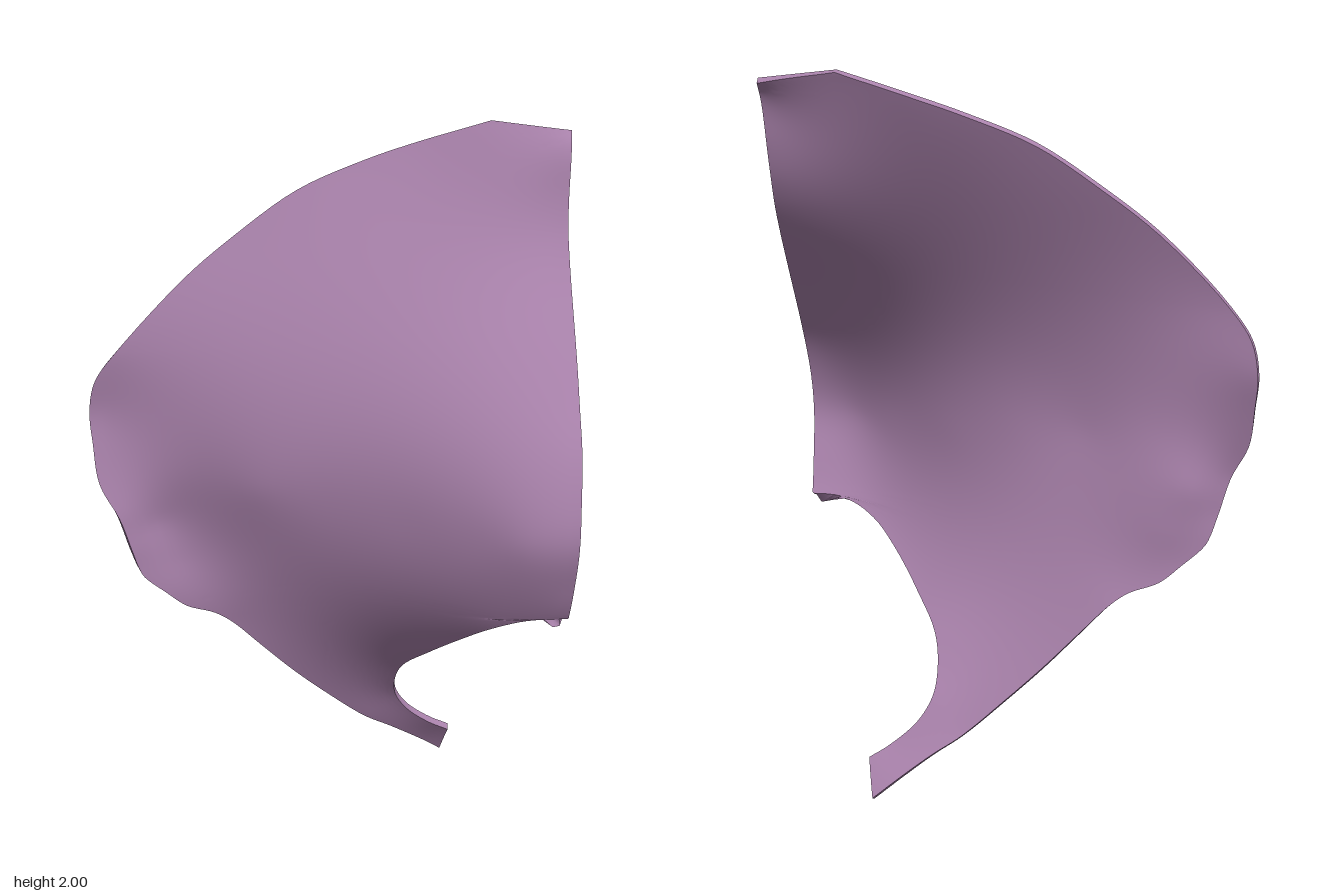
import * as THREE from 'three';
import { toCreasedNormals } from 'three/addons/utils/BufferGeometryUtils.js';

const ROWS = 125, COLS = 40, THICK = 0.021;

// Outer edge, from the bottom tip up to the top
const outerEdge = [
  [.36, .005, -.325], [.3, .05, -.305], [.2, .12, -.265], [.12, .17, -.238], [0, .27, -.205], [-.1, .36, -.182],
  [-.2, .46, -.162], [-.28, .54, -.148], [-.33, .575, -.138], [-.41, .605, -.125], [-.47, .655, -.112],
  [-.53, .71, -.1], [-.545, .74, -.096], [-.563, .8, -.088], [-.595, .9, -.083], [-.648, 1, -.1],
  [-.663, 1.11, -.126], [-.67, 1.2, -.145], [-.652, 1.29, -.138], [-.59, 1.38, -.122], [-.4, 1.58, -.142],
  [-.25, 1.7, -.172], [-.08, 1.815, -.198], [.1, 1.89, -.213], [.25, 1.94, -.213], [.45, 2, -.197],
];
// Inner edge: hooked prong, notch, corner, then the straight bowed side
const innerEdge = [
  [.378, .1, -.268], [.32, .135, -.25], [.25, .195, -.225], [.21, .26, -.195], [.2, .33, -.15], [.215, .41, -.09],
  [.28, .5, .01], [.36, .59, .115], [.44, .66, .195], [.53, .702, .24], [.63, .7125, .255], [.64, .714, .256],
  [.641, .73, .265], [.645, .83, .303], [.648, .95, .335], [.65, 1.07, .32], [.655, 1.2, .268], [.656, 1.3, .198],
  [.657, 1.4, .125], [.657, 1.48, .063], [.656, 1.63, -.047], [.655, 1.72, -.092], [.658, 1.82, -.118],
  [.662, 1.9, -.132], [.665, 1.95, -.152], [.667, 1.975, -.175],
];
// Depth inside the sheet: the main swell, and a shallow dent by the lower outer edge
const inside = [
  [-.42, 1.02, -.093], [-.2, 1, -.02], [0, .98, .045], [.2, .96, .14], [.4, .95, .262], [.5, .95, .315], [.58, .95, .333],
  [-.49, .87, -.12], [-.42, .75, -.124],
];

// Smooth thin-plate surface z(x, y) through the given points
function depthField(pts) {
  const n = pts.length, size = n + 3;
  const kernel = (dx, dy) => {
    const r2 = dx * dx + dy * dy;
    return r2 > 1e-12 ? r2 * Math.log(r2) : 0;
  };
  const m = Array.from({ length: size }, () => new Array(size + 1).fill(0));
  pts.forEach(([x, y, z], i) => {
    pts.forEach((q, j) => { m[i][j] = kernel(x - q[0], y - q[1]); });
    m[i][i] += 4e-4;
    [1, x, y].forEach((v, k) => { m[i][n + k] = m[n + k][i] = v; });
    m[i][size] = z;
  });
  // Gauss-Jordan elimination with pivoting
  for (let c = 0; c < size; c++) {
    let p = c;
    for (let r = c + 1; r < size; r++) if (Math.abs(m[r][c]) > Math.abs(m[p][c])) p = r;
    [m[c], m[p]] = [m[p], m[c]];
    for (let r = 0; r < size; r++) {
      if (r === c) continue;
      const f = m[r][c] / m[c][c];
      for (let k = c; k <= size; k++) m[r][k] -= f * m[c][k];
    }
  }
  const w = m.map((row, i) => row[size] / row[i]);
  return (x, y) => pts.reduce((sum, q, i) => sum + w[i] * kernel(x - q[0], y - q[1]), w[n] + w[n + 1] * x + w[n + 2] * y);
}

const edgeCurve = (pts) => new THREE.CatmullRomCurve3(pts.map((p) => new THREE.Vector3(...p)), false, 'centripetal');

function shellGeometry() {
  const outer = edgeCurve(outerEdge), inner = edgeCurve(innerEdge), n = COLS + 1;
  const depth = depthField([...outerEdge, ...innerEdge, ...inside]);
  const pos = [], front = [];
  for (let i = 0; i <= ROWS; i++) {
    const a = outer.getPoint(i / ROWS), b = inner.getPoint(i / ROWS);
    for (let j = 0; j <= COLS; j++) {
      const p = a.clone().lerp(b, j / COLS);
      pos.push(p.x, p.y, depth(p.x, p.y));
    }
  }
  for (let i = 0; i < ROWS; i++) for (let j = 0; j < COLS; j++) {
    const a = i * n + j;
    front.push(a, a + 1, a + n + 1, a, a + n + 1, a + n);
  }
  const sheet = new THREE.BufferGeometry();
  sheet.setAttribute('position', new THREE.Float32BufferAttribute(pos, 3));
  sheet.setIndex(front);
  sheet.computeVertexNormals();

  // Back skin: the front skin pushed inward and reversed
  const nor = sheet.attributes.normal.array, count = pos.length / 3;
  const all = pos.concat(pos.map((v, k) => v - nor[k] * THICK));
  const index = [...front];
  for (let k = 0; k < front.length; k += 3) index.push(front[k] + count, front[k + 2] + count, front[k + 1] + count);

  // Rim joining both skins around the outline
  const loop = [];
  for (let j = 0; j < COLS; j++) loop.push(j);
  for (let i = 0; i < ROWS; i++) loop.push(i * n + COLS);
  for (let j = COLS; j > 0; j--) loop.push(ROWS * n + j);
  for (let i = ROWS; i > 0; i--) loop.push(i * n);
  loop.forEach((a, k) => {
    const b = loop[(k + 1) % loop.length];
    index.push(a, a + count, b + count, a, b + count, b);
  });
  const geo = new THREE.BufferGeometry();
  geo.setAttribute('position', new THREE.Float32BufferAttribute(all, 3));
  geo.setIndex(index);
  return toCreasedNormals(geo, 0.9);
}

export function createModel() {
  const group = new THREE.Group();
  group.name = 'curvedShell';
  const mauve = new THREE.MeshStandardMaterial({ color: 0xa982ab });
  mauve.name = 'mauve';
  const shell = new THREE.Mesh(shellGeometry(), mauve);
  shell.name = 'shellPlate';
  group.add(shell);
  return group;
}
